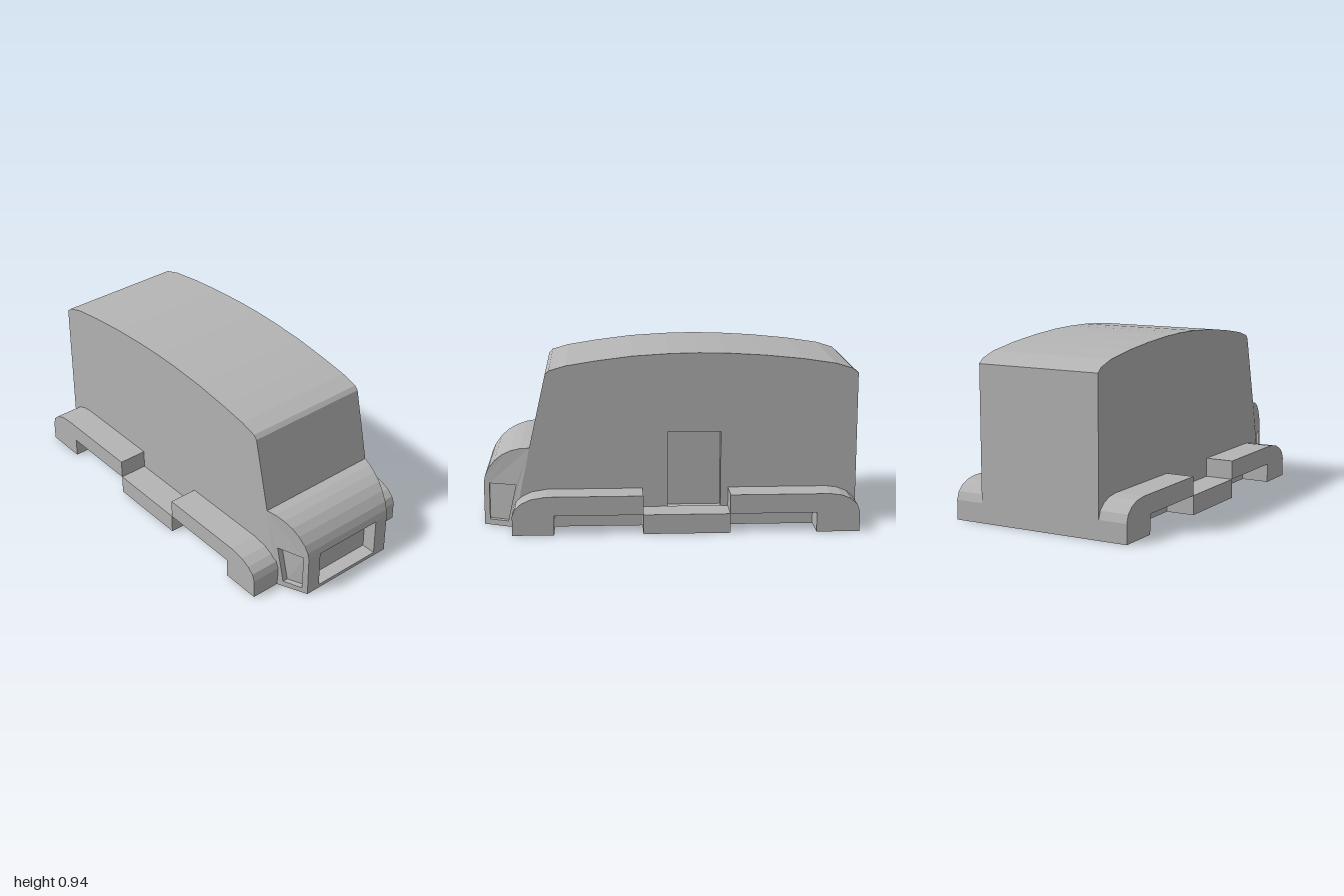
import * as THREE from 'three';

const HALF = 0.35; // half width of the cabin
const NOSE = 0.28; // half width of the nose front

const toShape = (pts) => new THREE.Shape(pts.map(([x, y]) => new THREE.Vector2(x, y)));
const toPath = (pts) => new THREE.Path(pts.map(([x, y]) => new THREE.Vector2(x, y)));

// Profile in x/y extruded between two z values
function slab(shape, z0, z1) {
  const g = new THREE.ExtrudeGeometry(shape, { depth: z1 - z0, bevelEnabled: false });
  return g.translate(0, 0, z0);
}

// Flat-shaded strip of quads between two matching rows of points
function strip(a, b) {
  const v = [];
  for (let i = 0; i + 1 < a.length; i++) {
    v.push(...a[i], ...b[i], ...b[i + 1], ...a[i], ...b[i + 1], ...a[i + 1]);
  }
  const g = new THREE.BufferGeometry();
  g.setAttribute('position', new THREE.Float32BufferAttribute(v, 3));
  g.computeVertexNormals();
  return g;
}

// Move every vertex of a flat shape by a rule
function mapped(shape, rule) {
  const g = new THREE.ShapeGeometry(shape).toNonIndexed();
  const p = g.attributes.position;
  for (let i = 0; i < p.count; i++) p.setXYZ(i, ...rule(p.getX(i), p.getY(i)));
  g.computeVertexNormals();
  return g;
}

export function createModel() {
  const model = new THREE.Group();
  model.name = 'van';
  const grey = new THREE.MeshStandardMaterial({ color: 0xb4b4b4, side: THREE.DoubleSide });
  grey.name = 'plain grey';
  const add = (name, geometry) => {
    const m = new THREE.Mesh(geometry, grey);
    m.name = name;
    model.add(m);
  };

  // Cabin with arched roof and sloping windscreen
  const cabin = [
    [-1, 0], [0.84, 0], [0.75, 0.435], [0.66, 0.83], [0.64, 0.85], [0.55, 0.876], [0.4, 0.9],
    [0.2, 0.925], [0, 0.937], [-0.15, 0.94], [-0.3, 0.937], [-0.5, 0.925], [-0.7, 0.905],
    [-0.88, 0.878], [-0.97, 0.85], [-1, 0.825],
  ];
  const doorDepth = 0.06;
  add('cabin', slab(toShape(cabin), -HALF + doorDepth, HALF));

  // Side wall with a recessed doorway
  const wall = toShape(cabin);
  wall.holes.push(toPath([[-0.27, 0.1], [-0.27, 0.515], [0.015, 0.515], [0.015, 0.1]]));
  add('doorWall', slab(wall, -HALF, -HALF + doorDepth));

  // Nose: width narrows from the slanted cabin edge to the front
  const hood = [
    [0.75, 0.435], [0.8, 0.43], [0.85, 0.415], [0.9, 0.39], [0.94, 0.355],
    [0.975, 0.31], [0.993, 0.27], [1, 0.235],
  ];
  const rootX = (y) => 0.84 - (0.09 * y) / 0.435;
  const halfAt = (x, y) => HALF - (HALF - NOSE) * (x - rootX(y)) / (1 - rootX(y));
  add('hood', strip(
    hood.map(([x, y]) => [x, y, halfAt(x, y)]),
    hood.map(([x, y]) => [x, y, -halfAt(x, y)]),
  ));
  add('noseFloor', strip([[0.84, 0, HALF], [1, 0, NOSE]], [[0.84, 0, -HALF], [1, 0, -NOSE]]));

  // Front face with a recessed grille
  const grille = [[-0.2, 0.02], [0.2, 0.02], [0.2, 0.23], [-0.2, 0.23]];
  const face = toShape([[-NOSE, 0], [NOSE, 0], [NOSE, 0.235], [-NOSE, 0.235]]);
  face.holes.push(toPath(grille));
  add('noseFront', mapped(face, (x, y) => [1, y, -x]));
  const grilleRim = [...grille, grille[0]];
  add('grilleRim', strip(
    grilleRim.map(([x, y]) => [1, y, -x]),
    grilleRim.map(([x, y]) => [0.92, y, -x]),
  ));
  add('grille', mapped(toShape(grille), (x, y) => [0.92, y, -x]));

  // Rounded end fenders, wheel notches and the low step between them
  const rear = toShape([
    [-1, 0], [-0.77, 0], [-0.77, 0.105], [-0.31, 0.105], [-0.31, 0.208], [-0.84, 0.208],
    [-0.9, 0.2], [-0.95, 0.18], [-0.985, 0.148], [-1, 0.105],
  ]);
  const front = toShape([
    [0.62, 0], [0.84, 0], [0.84, 0.105], [0.825, 0.142], [0.79, 0.172], [0.74, 0.195],
    [0.66, 0.208], [0.15, 0.208], [0.15, 0.105], [0.62, 0.105],
  ]);
  const step = toShape([[-0.31, 0], [0.15, 0], [0.15, 0.105], [-0.31, 0.105]]);

  const lamp = [[0.87, 0.03], [0.97, 0.03], [0.97, 0.23], [0.825, 0.23]];
  const lampRim = [...lamp, lamp[0]];

  for (const [side, s] of [['left', 1], ['right', -1]]) {
    const z0 = s > 0 ? HALF - 0.005 : -0.508;
    const z1 = s > 0 ? 0.508 : -HALF + 0.005;
    add(side + 'RearFender', slab(rear, z0, z1));
    add(side + 'FrontFender', slab(front, z0, z1));
    add(side + 'Step', slab(step, z0, z1));

    // Angled nose cheek with a recessed headlight
    const cheek = toShape([[0.84, 0], [1, 0], ...[...hood].reverse()]);
    cheek.holes.push(toPath(lamp));
    const at = (x, y, depth = 0) => [x, y, s * (halfAt(x, y) - depth)];
    add(side + 'Cheek', mapped(cheek, (x, y) => at(x, y)));
    add(side + 'HeadlightRim', strip(
      lampRim.map(([x, y]) => at(x, y)),
      lampRim.map(([x, y]) => at(x, y, 0.03)),
    ));
    add(side + 'Headlight', mapped(toShape(lamp), (x, y) => at(x, y, 0.03)));
  }
  // Double-sided surfaces need outward winding only for shading, so mirrored parts stay valid
  return model;
}
